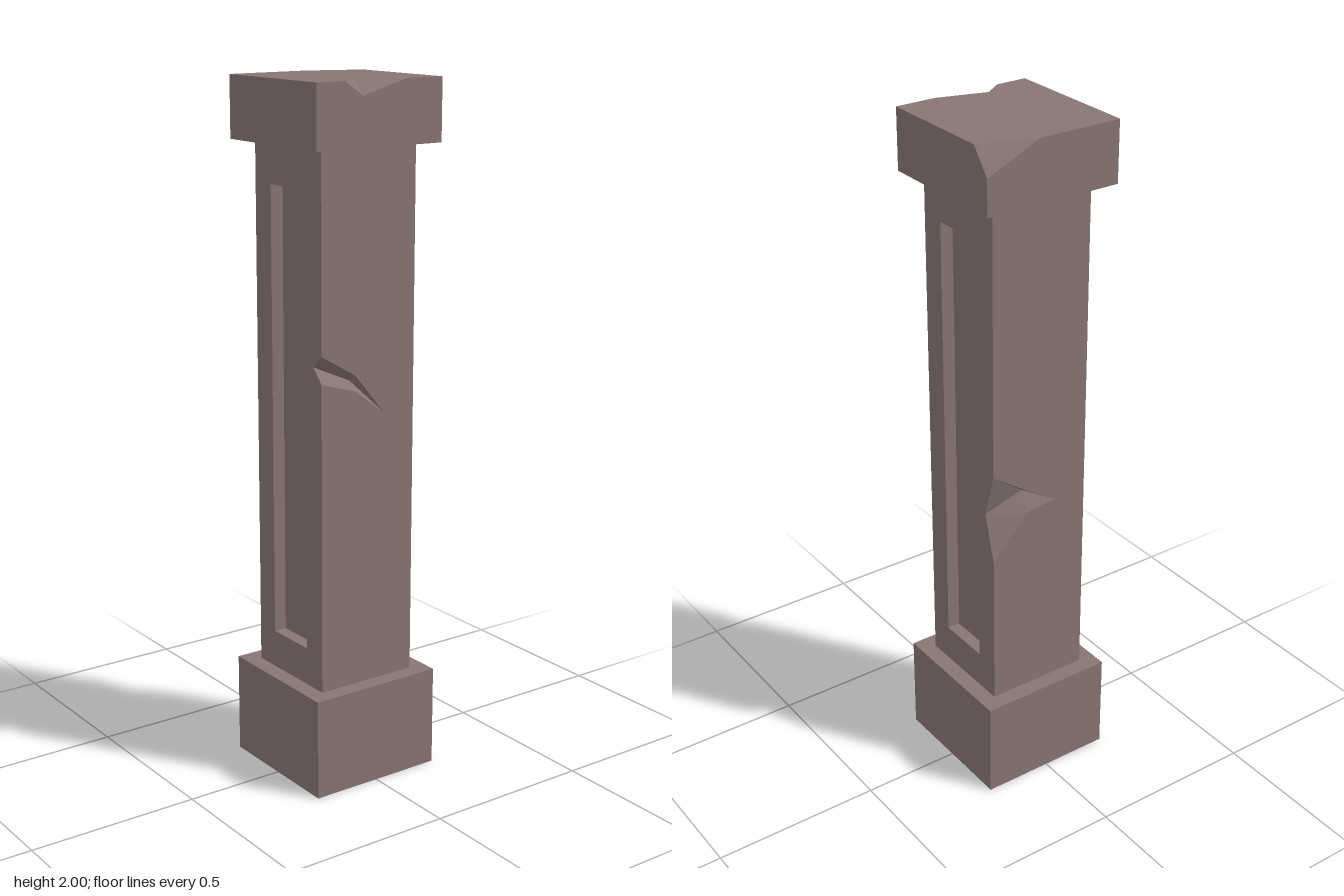
import * as THREE from 'three';

const W = 0.206;            // half width of base and cap
const S = 0.157;            // half width of shaft
const Y0 = 0.295, Y1 = 1.825, TOP = 2;

// Flat-shaded mesh from planar polygons: { pts, out, hole }, out = rough outward direction
function polyMesh(name, faces, material) {
  const pos = [];
  const a = new THREE.Vector3(), b = new THREE.Vector3();
  for (const { pts, out, hole = [] } of faces) {
    const dir = new THREE.Vector3(...out);
    const size = out.map(Math.abs);
    const drop = size.indexOf(Math.max(...size));
    const flat = (list) => list.map((p) => new THREE.Vector2(...p.filter((_, i) => i !== drop)));
    const all = [...pts, ...hole].map((p) => new THREE.Vector3(...p));
    const tris = pts.length === 3 ? [[0, 1, 2]]
      : THREE.ShapeUtils.triangulateShape(flat(pts), hole.length ? [flat(hole)] : []);
    for (const t of tris) {
      let [p, q, r] = t.map((i) => all[i]);
      const n = a.subVectors(q, p).cross(b.subVectors(r, p));
      if (n.dot(dir) < 0) [q, r] = [r, q];
      for (const v of [p, q, r]) pos.push(v.x, v.y, v.z);
    }
  }
  const geo = new THREE.BufferGeometry();
  geo.setAttribute('position', new THREE.Float32BufferAttribute(pos, 3));
  geo.computeVertexNormals();
  const mesh = new THREE.Mesh(geo, material);
  mesh.name = name;
  return mesh;
}

// Two-step wedge groove: upper edge, valley and lower edge all meet at a tip
function grooveFaces({ upper: [u0, u1], valley: [m0, m1], lower: [l0, l1], tip }, out) {
  return [
    [u0, m0, m1], [u0, m1, u1], [u1, m1, tip],
    [m0, l0, l1], [m0, l1, m1], [m1, l1, tip],
  ].map((pts) => ({ pts, out }));
}

// Sunken panel on the front (side = 1) or back (side = -1)
function panel(side) {
  const x = 0.082, lo = 0.405, hi = 1.71, depth = 0.038;
  const ring = (z) => [[-x, lo, z], [x, lo, z], [x, hi, z], [-x, hi, z]];
  const outer = ring(side * S), inner = ring(side * (S - depth));
  const inward = [[0, 1, 0], [-1, 0, 0], [0, -1, 0], [1, 0, 0]];
  const faces = inward.map((out, i) => {
    const j = (i + 1) % 4;
    return { pts: [outer[i], outer[j], inner[j], inner[i]], out };
  });
  faces.push({ pts: inner, out: [0, 0, side] });
  return { outer, faces };
}

export function createModel() {
  const model = new THREE.Group();
  model.name = 'stonePillar';
  const stone = new THREE.MeshStandardMaterial({ color: 0x877572 });
  stone.name = 'weathered stone';

  // Base block
  const base = new THREE.Mesh(new THREE.BoxGeometry(2 * W, Y0, 2 * W), stone);
  base.position.y = Y0 / 2;
  base.name = 'base';
  model.add(base);

  // Crack on the front corner of the +x side
  const crack = {
    upper: [[S, 1.27, S], [S, 1.205, 0.045]],
    valley: [[0.118, 1.235, S], [0.13, 1.185, 0.045]],
    lower: [[S, 1.193, S], [S, 1.16, 0.045]],
    tip: [S, 1.085, -0.055],
  };
  // Chip on the back corner of the -x side
  const chip = {
    upper: [[-S, 1.04, -S], [-S, 0.962, -0.043]],
    valley: [[-0.117, 0.905, -S], [-0.131, 0.952, -0.043]],
    lower: [[-S, 0.765, -S], [-S, 0.89, -0.043]],
    tip: [-S, 0.902, 0.053],
  };

  // Shaft walls, with outlines following the damage
  const front = panel(1), back = panel(-1);
  const edge = (g) => [g.lower[0], g.lower[1], g.tip, g.upper[1], g.upper[0]];
  model.add(polyMesh('shaft', [
    { pts: [[-S, Y0, S], [S, Y0, S], crack.lower[0], crack.valley[0], crack.upper[0], [S, Y1, S], [-S, Y1, S]],
      out: [0, 0, 1], hole: front.outer },
    { pts: [[S, Y0, -S], [-S, Y0, -S], chip.lower[0], chip.valley[0], chip.upper[0], [-S, Y1, -S], [S, Y1, -S]],
      out: [0, 0, -1], hole: back.outer },
    { pts: [[S, Y0, -S], [S, Y0, S], ...edge(crack), [S, Y1, S], [S, Y1, -S]], out: [1, 0, 0] },
    { pts: [[-S, Y0, S], [-S, Y0, -S], ...edge(chip), [-S, Y1, -S], [-S, Y1, S]], out: [-1, 0, 0] },
  ], stone));
  model.add(polyMesh('frontPanel', front.faces, stone));
  model.add(polyMesh('backPanel', back.faces, stone));
  model.add(polyMesh('shaftCrack', grooveFaces(crack, [1, 0, 0]), stone));
  model.add(polyMesh('shaftChip', grooveFaces(chip, [-1, 0, 0]), stone));

  // Cap with a notch in the +x edge and a broken back corner
  const nA = [W, TOP, 0.115], nB = [W, TOP, -0.085], nIn = [0.165, TOP, 0.058], nLow = [W, 1.96, 0.058];
  const cX = [-0.15, TOP, -W], cZ = [-W, TOP, -0.045], cLow = [-W, 1.928, -W];
  const low = [[-W, Y1, W], [W, Y1, W], [W, Y1, -W], [-W, Y1, -W]];
  const high = low.map(([x, , z]) => [x, TOP, z]);
  model.add(polyMesh('cap', [
    { pts: [high[0], high[1], nA, nIn, nB, high[2], cX, cZ], out: [0, 1, 0] },
    { pts: low, out: [0, -1, 0] },
    { pts: [low[0], low[1], high[1], high[0]], out: [0, 0, 1] },
    { pts: [low[1], low[2], high[2], nB, nLow, nA, high[1]], out: [1, 0, 0] },
    { pts: [low[2], low[3], cLow, cX, high[2]], out: [0, 0, -1] },
    { pts: [low[3], low[0], high[0], cZ, cLow], out: [-1, 0, 0] },
  ], stone));
  model.add(polyMesh('capNotch', [
    { pts: [nIn, nLow, nB], out: [1, 1, 0] },
    { pts: [nIn, nLow, nA], out: [1, 1, 0] },
  ], stone));
  model.add(polyMesh('capBrokenCorner', [{ pts: [cX, cZ, cLow], out: [-1, 1, -1] }], stone));

  return model;
}
